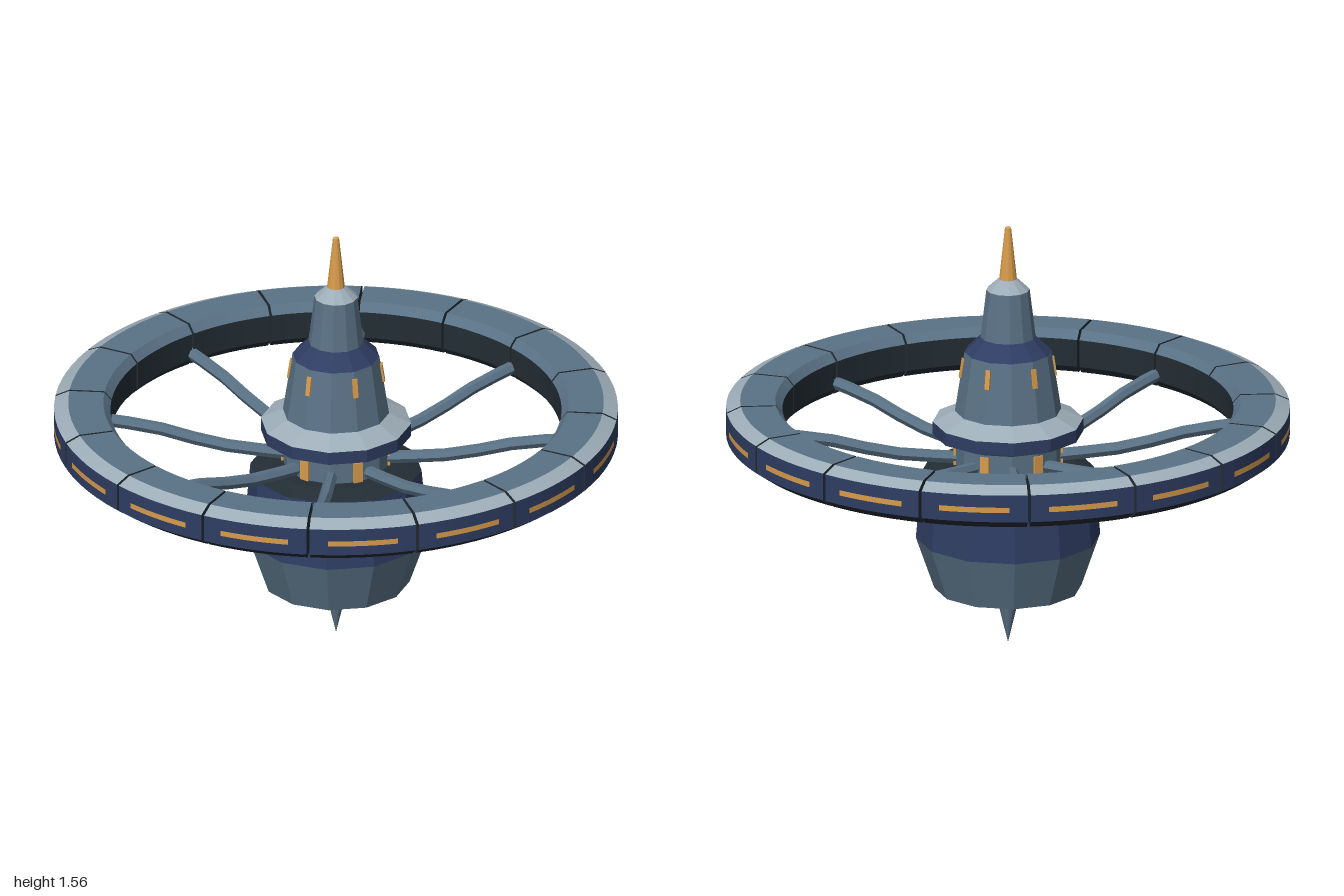
import * as THREE from 'three';

const paint = (name, color, side = THREE.FrontSide) => {
  const m = new THREE.MeshStandardMaterial({ color, flatShading: true, side });
  m.name = name;
  return m;
};

export function createModel() {
  const steel = paint('steel', 0x5a7286);
  const navy = paint('navy', 0x2f3d63);
  const pale = paint('paleSteel', 0x9dadb8);
  const gold = paint('gold', 0xd89c4c);
  const charcoal = paint('charcoal', 0x232d34, THREE.DoubleSide);

  const model = new THREE.Group();
  model.name = 'spaceStation';

  const add = (parent, name, geometry, material) => {
    const mesh = new THREE.Mesh(geometry, material);
    mesh.name = name;
    parent.add(mesh);
    return mesh;
  };
  const group = (name) => {
    const g = new THREE.Group();
    g.name = name;
    model.add(g);
    return g;
  };
  // Turned surface from [radius, y] pairs, listed bottom to top on the outside
  const lathe = (pts, sides = 12, start = 0, length = Math.PI * 2) =>
    new THREE.LatheGeometry(pts.map(([r, y]) => new THREE.Vector2(r, y)), sides, start, length);

  // Central hub, from the lower spike to the mast
  const hub = group('hub');
  [
    ['lowerSpike', steel, [[0, 0], [0.038, 0.16]]],
    ['bodyUnderside', navy, [[0, 0.145], [0.04, 0.152], [0.262, 0.21]]],
    ['lowerBody', steel, [[0.262, 0.21], [0.328, 0.4]]],
    ['upperBody', navy, [[0.328, 0.4], [0.305, 0.65]]],
    ['bodyTop', charcoal, [[0.305, 0.65], [0.235, 0.672], [0, 0.672]]],
    ['neck', steel, [[0.19, 0.66], [0.19, 0.77]]],
    ['collarUnderside', steel, [[0.18, 0.752], [0.268, 0.785]]],
    ['collarBand', navy, [[0.268, 0.785], [0.268, 0.832]]],
    ['collarTop', pale, [[0.268, 0.832], [0.185, 0.872]]],
    ['tower', steel, [[0.19, 0.865], [0.155, 1.09]]],
    ['towerShoulder', navy, [[0.155, 1.09], [0.098, 1.145]]],
    ['upperTower', steel, [[0.098, 1.145], [0.077, 1.32]]],
    ['towerCap', pale, [[0.077, 1.32], [0.034, 1.36], [0, 1.36]]],
    ['mast', gold, [[0.032, 1.355], [0.011, 1.55], [0, 1.557]]],
  ].forEach(([name, material, pts]) => add(hub, name, lathe(pts), material));

  // Six tall windows around the neck and six around the tower
  const windows = group('hubWindows');
  for (let i = 0; i < 6; i++) {
    const a = Math.PI / 6 + i * Math.PI / 3;
    [
      ['neckWindow', 0.19, 0.71, 0.034, 0.075, 0],
      ['towerWindow', 0.165, 1.03, 0.018, 0.07, -0.154],
    ].forEach(([name, r, y, w, h, tilt]) => {
      const win = add(windows, name, new THREE.BoxGeometry(w, h, 0.009), gold);
      win.rotation.set(tilt, a, 0, 'YXZ');
      win.position.set(r * Math.sin(a), y, r * Math.cos(a));
    });
  }

  // Eight bent spokes
  const spokes = group('spokes');
  const path = new THREE.CatmullRomCurve3([
    new THREE.Vector3(0.15, 0.695, 0),
    new THREE.Vector3(0.42, 0.72, 0),
    new THREE.Vector3(0.65, 0.775, 0),
    new THREE.Vector3(0.86, 0.8, 0),
  ]);
  const spokeGeometry = new THREE.TubeGeometry(path, 6, 0.023, 6);
  for (let i = 0; i < 8; i++) {
    add(spokes, 'spoke', spokeGeometry, steel).rotation.y = i * Math.PI / 4;
  }

  // Sixteen ring segments with narrow gaps between them
  const ring = group('ring');
  const step = Math.PI / 8;
  const gap = 0.0055;
  const section = [
    [0.82, 0.75], [0.955, 0.75], [1, 0.782], [1, 0.882],
    [0.95, 0.905], [0.825, 0.905], [0.8, 0.875], [0.8, 0.775],
  ];
  const corners = (...ids) => ids.map((i) => section[i]);
  const skins = [
    ['ringUnderside', charcoal, corners(0, 1, 2)],
    ['ringOuterWall', navy, corners(2, 3)],
    ['ringOuterBevel', pale, corners(3, 4)],
    ['ringTop', steel, corners(4, 5, 6)],
    ['ringInnerWall', charcoal, corners(6, 7, 0)],
  ].map(([name, material, pts]) => [name, material, lathe(pts, 6, gap, step - 2 * gap)]);
  const capGeometry = new THREE.ShapeGeometry(
    new THREE.Shape(section.map(([r, y]) => new THREE.Vector2(r, y))));
  const stripStart = step * 0.18;
  const strip = lathe([[1.001, 0.817], [1.001, 0.837]], 6, stripStart, step - 2 * stripStart);

  for (let i = 0; i < 16; i++) {
    const segment = new THREE.Group();
    segment.name = 'ringSegment';
    segment.rotation.y = i * step;
    ring.add(segment);
    skins.forEach(([name, material, geometry]) => add(segment, name, geometry, material));
    for (const phi of [gap, step - gap]) {
      add(segment, 'segmentEnd', capGeometry, charcoal).rotation.y = phi - Math.PI / 2;
    }
    add(segment, 'ringWindow', strip, gold);
  }

  return model;
}
